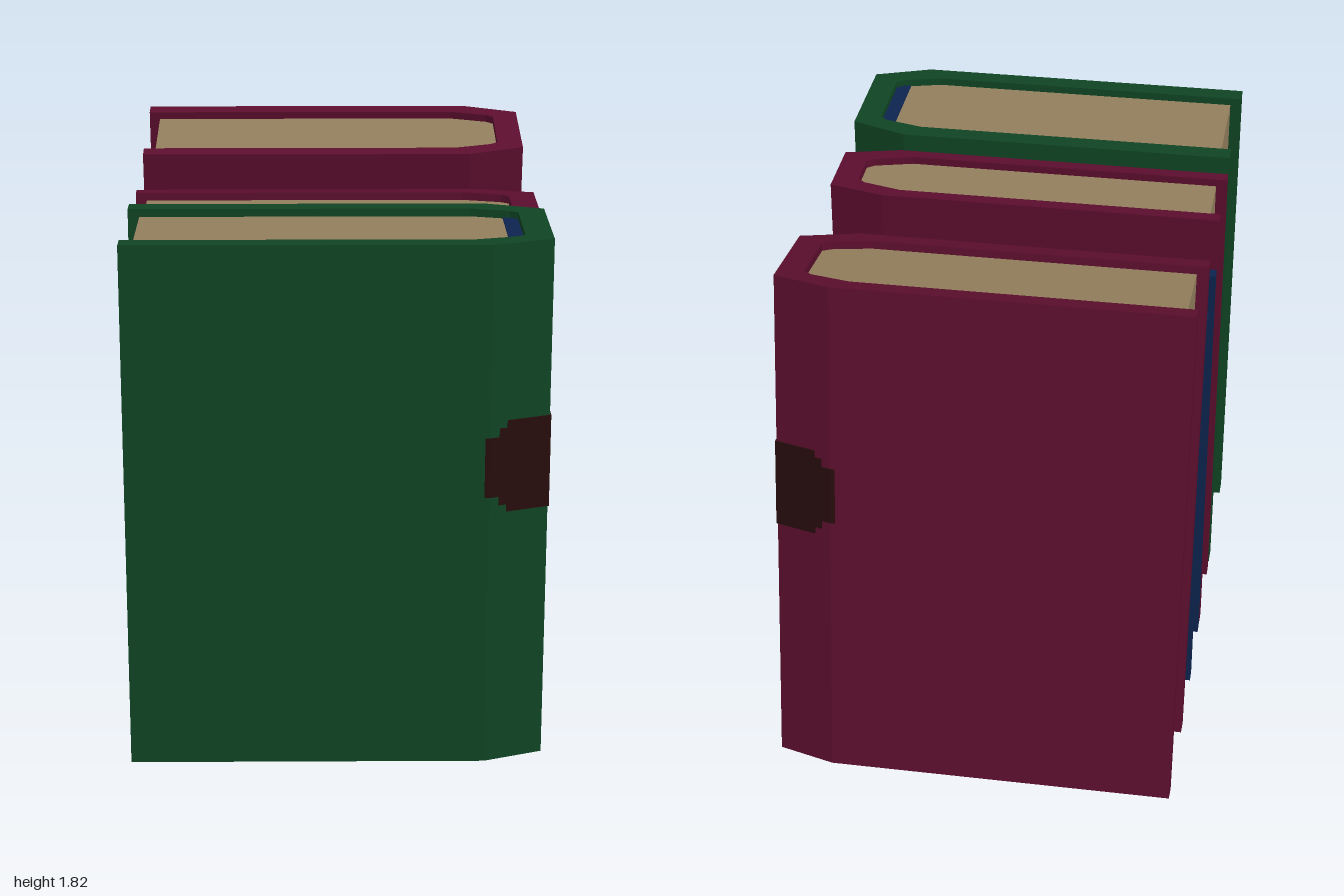
import * as THREE from 'three';

const mat = (name, color) => {
  const m = new THREE.MeshStandardMaterial({ color });
  m.name = name;
  return m;
};

// Spine is at +x; shoulders start at SHOULDER and slope in towards it
const X = 0.672, SHOULDER = 0.48, INNER = 0.585, PAGE_EDGE = -0.635, RECESS = 0.026;

export function createModel() {
  const green = mat('greenCover', 0x0f4423);
  const maroon = mat('maroonCover', 0x5b0e2d);
  const blue = mat('blueCover', 0x0e244f);
  const paper = mat('paper', 0x927e5c);
  const dark = mat('darkStrap', 0x260d0c);
  const pale = mat('paleFace', 0xc9abca);

  // Prism over a floor outline of [x, z] points, from y0 to y1
  function prism(name, points, y0, y1, material) {
    const shape = new THREE.Shape(points.map(([x, z]) => new THREE.Vector2(x, -z)));
    const geo = new THREE.ExtrudeGeometry(shape, { depth: y1 - y0, bevelEnabled: false });
    geo.rotateX(-Math.PI / 2).translate(0, y0, 0);
    const mesh = new THREE.Mesh(geo, material);
    mesh.name = name;
    return mesh;
  }

  // Mirrors half an outline across z = 0
  const mirrored = half => [...half, ...half.map(([x, z]) => [x, -z]).reverse()];

  // Thin plate with clipped corners, facing +x
  function plate(name, z, y, w, h) {
    const a = w / 2, b = h / 2, c = 0.009;
    const pts = [[-a + c, -b], [a - c, -b], [a, -b + c], [a, b - c],
      [a - c, b], [-a + c, b], [-a, b - c], [-a, -b + c]];
    const shape = new THREE.Shape(pts.map(p => new THREE.Vector2(...p)));
    const geo = new THREE.ExtrudeGeometry(shape, { depth: 0.005, bevelEnabled: false });
    geo.rotateY(Math.PI / 2).translate(X + 0.002, y, z);
    const mesh = new THREE.Mesh(geo, pale);
    mesh.name = name;
    return mesh;
  }

  function book(o) {
    const g = new THREE.Group();
    g.name = o.name;
    const w = o.width / 2, inner = w - o.board;

    // Bound cover: outer outline, then back along the inside
    const outer = [[-X, w], [SHOULDER, w], [X, w - o.slope]];
    const inside = [[0.43, inner], [0.56, inner - 0.035], [INNER, inner - 0.055]];
    const cover = [...mirrored(outer), [-X, -inner],
      ...mirrored(inside.map(([x, z]) => [x, -z])), [-X, inner]];
    g.add(prism('cover', cover, 0, o.height, o.color));

    // Page block, slightly recessed on three sides
    g.add(prism('pages', mirrored([[PAGE_EDGE, inner], ...inside]),
      RECESS, o.height - RECESS, paper));

    // Blue binding strip at the head of the pages
    if (o.binding) {
      const top = o.height - RECESS;
      g.add(prism('bindingStrip', mirrored([[0.537, inner - 0.03],
        [0.56, inner - 0.035], [INNER, inner - 0.055]]), top, top + 0.004, blue));
    }

    // Strap wrapped round the spine, with stepped ends
    const e = 0.004;
    for (const [x, k] of [[0.535, 1], [0.51, 0.84], [0.465, 0.65]]) {
      const half = [[x, x < SHOULDER ? w + e : w + e - o.slope * (x - SHOULDER) / (X - SHOULDER)]];
      if (x < SHOULDER) half.push([SHOULDER, w + e]);
      half.push([X + e, w + e - o.slope]);
      const h = o.strapHeight * k / 2;
      g.add(prism('strap', mirrored(half), o.strapY - h, o.strapY + h, dark));
    }

    // Face on the strap
    for (const s of [-1, 1])
      g.add(plate('eye', s * o.eyeOffset, o.strapY + 0.075, o.eyeWidth, 0.052));
    g.add(plate('mouth', 0, o.strapY - o.mouthDrop, o.mouthWidth, 0.052));
    return g;
  }

  const model = new THREE.Group();
  model.name = 'books';

  const greenBook = book({ name: 'greenBook', color: green, width: 0.53, height: 1.742,
    board: 0.068, slope: 0.072, strapY: 1.017, strapHeight: 0.305, binding: true,
    eyeOffset: 0.11, eyeWidth: 0.075, mouthWidth: 0.294, mouthDrop: 0.075 });
  greenBook.position.z = 0.733;

  const maroonBook = book({ name: 'maroonBook', color: maroon, width: 0.335, height: 1.7,
    board: 0.046, slope: 0.047, strapY: 0.99, strapHeight: 0.3,
    eyeOffset: 0.071, eyeWidth: 0.046, mouthWidth: 0.188, mouthDrop: 0.073 });
  maroonBook.position.z = 0.262;

  const blueBook = book({ name: 'blueBook', color: blue, width: 0.33, height: 1.522,
    board: 0.046, slope: 0.047, strapY: 0.885, strapHeight: 0.26, binding: true,
    eyeOffset: 0.07, eyeWidth: 0.047, mouthWidth: 0.188, mouthDrop: 0.06 });
  blueBook.position.z = -0.092;

  // Last book leans forward on the others
  const leaning = book({ name: 'leaningBook', color: maroon, width: 0.485, height: 1.745,
    board: 0.062, slope: 0.065, strapY: 1.017, strapHeight: 0.3,
    eyeOffset: 0.103, eyeWidth: 0.07, mouthWidth: 0.27, mouthDrop: 0.078 });
  leaning.rotation.x = 0.153;
  leaning.position.set(0, 0.918 - 0.8725 * Math.cos(0.153), -0.625 - 0.8725 * Math.sin(0.153));

  model.add(greenBook, maroonBook, blueBook, leaning);
  return model;
}
